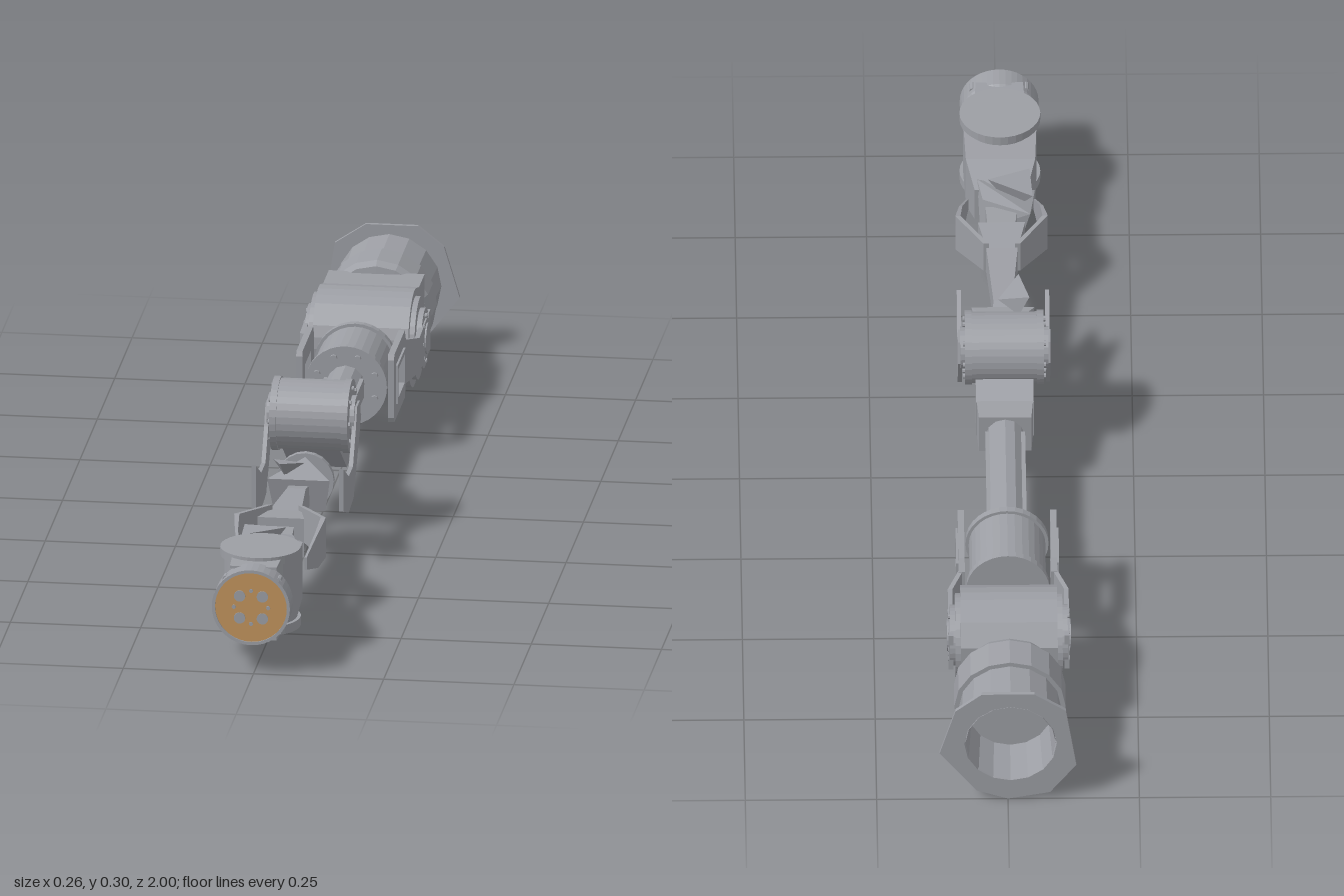
import * as THREE from 'three';
import { ConvexGeometry } from 'three/addons/geometries/ConvexGeometry.js';

export function createModel() {
  const model = new THREE.Group();
  const grey = new THREE.MeshStandardMaterial({ color: 0x9c9ea4, flatShading: true, side: THREE.DoubleSide });
  const copper = new THREE.MeshStandardMaterial({ color: 0xc0935c });
  const dark = new THREE.MeshStandardMaterial({ color: 0x55565a });
  grey.name = 'metal grey'; copper.name = 'copper'; dark.name = 'dark screws';
  const CX = -0.005, CY = 0.132;           // arm axis

  const add = (name, geo, mat = grey) => {
    const m = new THREE.Mesh(geo, mat);
    m.name = name;
    model.add(m);
    return m;
  };
  // cylinder between two positions along one axis
  const cyl = (name, axis, a, b, p, r0, r1 = r0, n = 32, mat = grey) => {
    const g = new THREE.CylinderGeometry(r1, r0, b - a, n);
    const mid = (a + b) / 2;
    if (axis === 'z') g.rotateX(Math.PI / 2).translate(p[0], p[1], mid);
    else if (axis === 'x') g.rotateZ(-Math.PI / 2).translate(mid, p[0], p[1]);
    else g.translate(p[0], mid, p[1]);
    return add(name, g, mat);
  };
  // ring or sleeve around the arm axis, from [radius, z] pairs
  const turned = (name, pts, n = 32) => add(name,
    new THREE.LatheGeometry(pts.map(p => new THREE.Vector2(...p)), n).rotateX(Math.PI / 2).translate(CX, CY, 0));
  // outline in (z, y), extruded from x0 to x1
  const side = (name, pts, x0, x1, hole) => {
    const s = new THREE.Shape(pts.map(p => new THREE.Vector2(...p)));
    if (hole) s.holes.push(new THREE.Path(hole.map(p => new THREE.Vector2(...p))));
    const g = new THREE.ExtrudeGeometry(s, { depth: x1 - x0, bevelEnabled: false });
    return add(name, g.rotateY(-Math.PI / 2).translate(x1, 0, 0));
  };
  // tapered block through sections [z, x0, x1, y0, y1]
  const loft = (name, ...secs) => secs.slice(1).forEach((b, i) => {
    const pts = [];
    for (const [z, x0, x1, y0, y1] of [secs[i], b])
      for (const x of [x0, x1]) for (const y of [y0, y1]) pts.push(new THREE.Vector3(x, y, z));
    add(name, new ConvexGeometry(pts));
  });
  const hull = (name, pts) => add(name, new ConvexGeometry(pts.map(p => new THREE.Vector3(...p))));
  const rect = (a, b, c, d) => [[a, c], [b, c], [b, d], [a, d]];

  // Base: angular mounting flange and hollow faceted sleeve
  const flange = new THREE.Shape([[0, 0], [0.06, 0.02], [0.13, 0.11], [0.1, 0.21], [0.05, 0.25], [-0.05, 0.25],
    [-0.11, 0.21], [-0.13, 0.08], [-0.08, 0.015]].map(p => new THREE.Vector2(...p)));
  flange.holes.push(new THREE.Path().absarc(CX, CY, 0.088, 0, Math.PI * 2, true));
  add('baseFlange', new THREE.ExtrudeGeometry(flange, { depth: 0.008, bevelEnabled: false, curveSegments: 8 })
    .translate(0, 0, -1));
  turned('baseSleeve', [[0.086, -0.998], [0.08, -0.9], [0, -0.9], [0, -0.88], [0.097, -0.88], [0.1, -0.995]], 16);
  turned('baseCollar', [[0, -0.885], [0.106, -0.885], [0.106, -0.815], [0.098, -0.8], [0, -0.79]], 16);

  // Shoulder: rounded housing on a cross axle
  const housing = [[-0.81, 0.05], [-0.81, 0.215], [-0.73, 0.215]];
  for (let i = 0; i <= 16; i++) {
    const a = Math.PI * (0.62 - 1.24 * i / 16);
    housing.push([-0.665 + 0.095 * Math.cos(a), 0.135 + 0.095 * Math.sin(a)]);
  }
  side('shoulderHousing', housing, CX - 0.092, CX + 0.092);
  cyl('shoulderAxle', 'x', CX - 0.102, CX + 0.102, [0.135, -0.665], 0.08);

  // Shoulder fork: hub, strap and slotted plate on each side
  for (const s of [-1, 1]) {
    const X = (a, b) => [CX + s * a, CX + s * b];
    const span = (a, b) => X(a, b).sort((p, q) => p - q);
    cyl('shoulderHub', 'x', ...span(0.1, 0.112), [0.135, -0.665], 0.058);
    cyl('shoulderHubCap', 'x', ...span(0.11, 0.118), [0.135, -0.665], 0.03, 0.03, 20);
    for (let i = 0; i < 8; i++) {
      const a = i * Math.PI / 4;
      cyl('hubScrew', 'x', ...span(0.111, 0.116),
        [0.135 + 0.045 * Math.sin(a), -0.665 + 0.045 * Math.cos(a)], 0.005, 0.005, 8);
    }
    loft('forkStrap', [-0.72, ...X(0.106, 0.115), 0.095, 0.175], [-0.565, ...X(0.106, 0.115), 0.1, 0.168],
      [-0.52, ...X(0.085, 0.094), 0.09, 0.178]);
    side('forkPlate', [[-0.525, 0.09], [-0.51, 0.065], [-0.36, 0.065], [-0.355, 0.075], [-0.355, 0.19], [-0.36, 0.2],
      [-0.51, 0.2], [-0.525, 0.178]], ...span(0.082, 0.094), rect(-0.48, -0.39, 0.105, 0.162));
    side('forkPlateRim', rect(-0.49, -0.38, 0.095, 0.172), ...span(0.093, 0.098), rect(-0.48, -0.39, 0.105, 0.162));
  }

  // Upper arm motor with clamp rings and lugs
  cyl('upperMotor', 'z', -0.515, -0.365, [CX, CY], 0.073);
  for (const z of [-0.512, -0.372]) cyl('motorRing', 'z', z - 0.007, z + 0.007, [CX, CY], 0.079);
  for (let i = 0; i < 8; i++) {
    const a = (i + 0.5) * Math.PI / 4;
    cyl('motorLug', 'z', -0.368, -0.358, [CX + 0.06 * Math.cos(a), CY + 0.06 * Math.sin(a)], 0.007, 0.007, 8);
  }

  // Upper arm tube with edge rails
  cyl('upperTube', 'z', -0.37, -0.02, [CX, 0.137], 0.036, 0.036, 12);
  for (const s of [-1, 1]) loft('tubeRail', [-0.34, CX + s * 0.024, CX + s * 0.038, 0.118, 0.156],
    [-0.06, CX + s * 0.024, CX + s * 0.038, 0.118, 0.156]);
  loft('elbowSocket', [-0.045, CX - 0.05, CX + 0.05, 0.098, 0.178], [0.02, CX - 0.055, CX + 0.055, 0.1, 0.182]);
  side('elbowCradle', [[0, 0.1], [0.03, 0.1], [0.13, 0.165], [0.1, 0.185], [0.05, 0.2], [0, 0.18]], CX - 0.055, CX + 0.055);

  // Elbow: raised cross drum with end rings and bolts
  cyl('elbowDrum', 'x', CX - 0.074, CX + 0.074, [0.229, 0.108], 0.068);
  for (const s of [-1, 1]) {
    const span = (a, b) => [CX + s * a, CX + s * b].sort((p, q) => p - q);
    cyl('elbowRing', 'x', ...span(0.062, 0.075), [0.229, 0.108], 0.071);
    cyl('elbowHub', 'x', ...span(0.073, 0.084), [0.229, 0.108], 0.04, 0.04, 20);
    for (let i = 0; i < 8; i++) {
      const a = i * Math.PI / 4;
      cyl('elbowBolt', 'x', ...span(0.074, 0.079),
        [0.229 + 0.055 * Math.sin(a), 0.108 + 0.055 * Math.cos(a)], 0.005, 0.005, 8);
    }
    side('elbowPlate', [[0.075, 0.215], [0.09, 0.255], [0.13, 0.255], [0.15, 0.215], [0.19, 0.155], [0.25, 0.155],
      [0.33, 0.195], [0.33, 0.11], [0.25, 0.082], [0.18, 0.09]], ...span(0.08, 0.088));
  }

  // Forearm motor and slender forearm
  cyl('forearmDisc', 'z', 0.205, 0.218, [CX, CY], 0.055, 0.055, 20);
  for (let i = 0; i < 8; i++) {
    const a = i * Math.PI / 4;
    cyl('forearmDiscBolt', 'z', 0.198, 0.206, [CX + 0.042 * Math.cos(a), CY + 0.042 * Math.sin(a)], 0.006, 0.006, 8);
  }
  hull('forearmMotor', [[CX, 0.18, 0.22], [CX - 0.06, 0.165, 0.315], [CX + 0.06, 0.165, 0.315],
    [CX - 0.05, 0.1, 0.3], [CX + 0.05, 0.1, 0.3], [CX - 0.035, 0.1, 0.22], [CX + 0.035, 0.1, 0.22]]);
  hull('forearmFin', [[CX - 0.05, 0.2, 0.3], [CX + 0.01, 0.195, 0.3], [CX - 0.03, 0.21, 0.36], [CX - 0.03, 0.165, 0.29]]);
  loft('forearm', [0.3, CX - 0.02, CX + 0.02, 0.11, 0.15], [0.345, CX - 0.018, CX + 0.018, 0.11, 0.158],
    [0.5, CX - 0.03, CX + 0.03, 0.105, 0.165], [0.57, CX - 0.045, CX + 0.045, 0.095, 0.172]);

  // Wrist fork: bowed blades
  for (const s of [-1, 1]) {
    const X = (a, b) => [CX + s * a, CX + s * b];
    loft('wristBlade', [0.5, ...X(0.025, 0.035), 0.11, 0.175], [0.58, ...X(0.078, 0.088), 0.1, 0.18],
      [0.63, ...X(0.074, 0.08), 0.095, 0.165], [0.69, ...X(0.062, 0.066), 0.11, 0.135]);
  }

  // Wrist motor: angular lumps
  hull('wristMotor', [[-0.06, 0.16, 0.61], [0.03, 0.165, 0.65], [-0.045, 0.1, 0.62], [0.035, 0.1, 0.64],
    [-0.07, 0.14, 0.71], [0.04, 0.175, 0.7], [0.03, 0.085, 0.71], [-0.05, 0.09, 0.72]]);
  hull('wristMotorFin', [[-0.065, 0.18, 0.64], [0.02, 0.19, 0.68], [-0.06, 0.185, 0.72], [-0.03, 0.12, 0.68]]);
  loft('wristNeck', [0.56, CX - 0.025, CX + 0.025, 0.11, 0.155], [0.64, CX - 0.03, CX + 0.03, 0.11, 0.155]);

  // Wrist housing with a vertical axle and round caps
  loft('wristHousing', [0.68, CX - 0.05, CX + 0.05, 0.095, 0.165], [0.75, CX - 0.066, CX + 0.066, 0.075, 0.185],
    [0.86, CX - 0.07, CX + 0.07, 0.072, 0.19]);
  cyl('wristBarrel', 'y', 0.072, 0.195, [CX, 0.86], 0.07);
  for (const [y0, y1] of [[0.195, 0.211], [0.054, 0.072]]) {
    cyl('wristCap', 'y', y0, y1, [CX, 0.86], 0.077);
    loft('wristBridge', [0.86, CX - 0.05, CX + 0.05, y0 + 0.003, y1 - 0.003],
      [0.965, CX - 0.045, CX + 0.045, y0 + 0.003, y1 - 0.008]);
  }
  for (let i = 0; i < 4; i++) {
    const a = (i + 0.5) * Math.PI / 2;
    cyl('capScrew', 'y', 0.052, 0.055, [CX + 0.03 * Math.cos(a), 0.86 + 0.03 * Math.sin(a)], 0.009, 0.009, 12, dark);
  }

  // Tool flange with copper face, sockets and pins
  turned('toolFlange', [[0, 0.95], [0.072, 0.95], [0.075, 0.955], [0.075, 1], [0.069, 1], [0.069, 0.99], [0, 0.99]], 40);
  cyl('toolFace', 'z', 0.99, 0.997, [CX, CY], 0.069, 0.069, 40, copper);
  for (let i = 0; i < 4; i++) {
    const a = i * Math.PI / 2, b = a + Math.PI / 4;
    cyl('toolSocket', 'z', 0.995, 0.999, [CX + 0.031 * Math.cos(b), CY + 0.031 * Math.sin(b)], 0.011, 0.011, 20);
    cyl('toolPin', 'z', 0.995, 0.999, [CX + 0.033 * Math.cos(a), CY + 0.033 * Math.sin(a)], 0.004, 0.004, 12);
    cyl('flangeScrew', 'z', 0.965, 0.985, [CX + 0.072 * Math.cos(b), CY + 0.072 * Math.sin(b)], 0.006, 0.006, 8);
  }
  return model;
}
